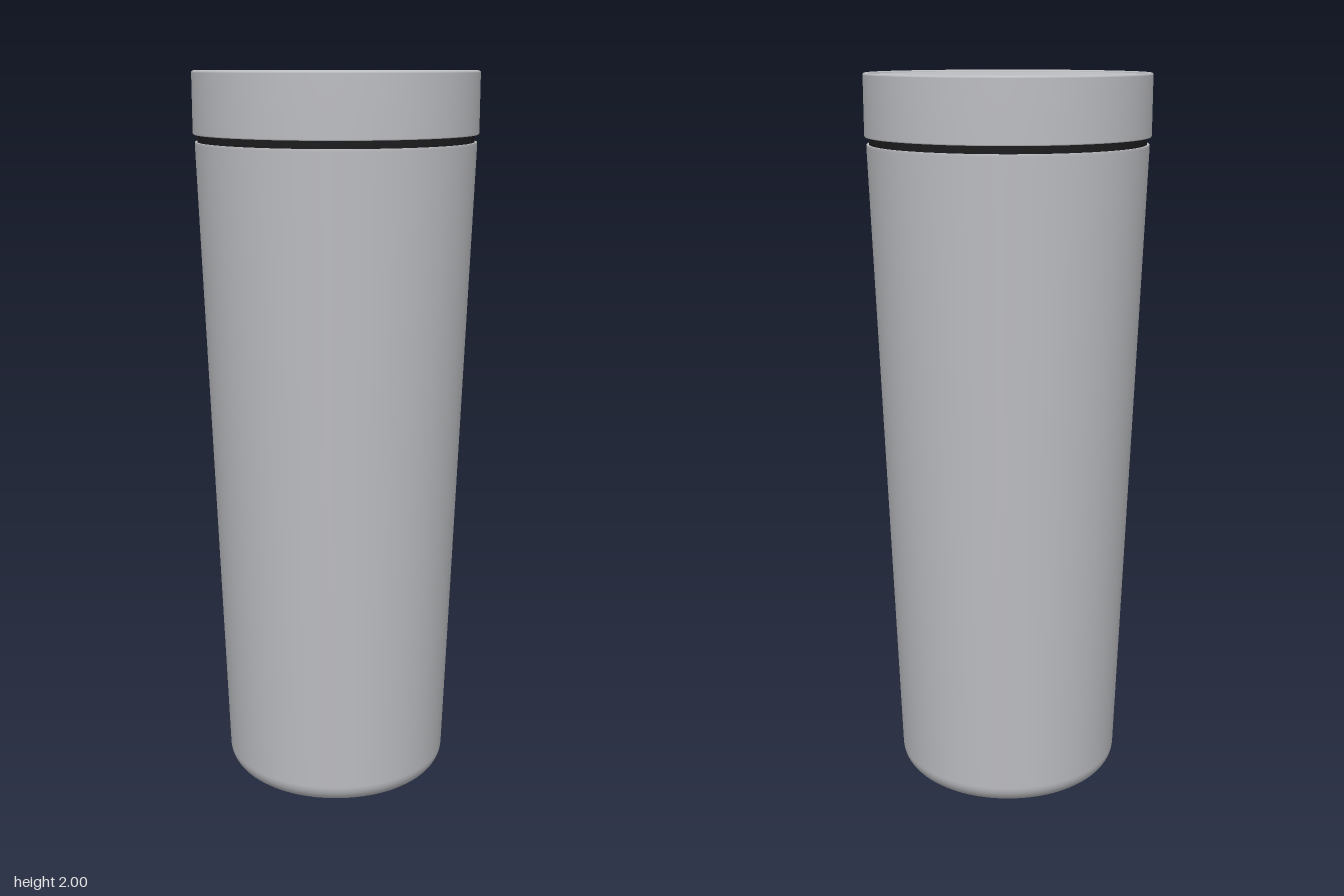
import * as THREE from 'three';
import { mergeGeometries } from 'three/addons/utils/BufferGeometryUtils.js';

const SIDES = 96;

// Revolve several profile runs; edges stay crisp where one run meets the next.
function turned(name, material, runs) {
  const parts = runs.map((run) =>
    new THREE.LatheGeometry(run.map(([r, y]) => new THREE.Vector2(r, y)), SIDES));
  const mesh = new THREE.Mesh(mergeGeometries(parts), material);
  mesh.name = name;
  return mesh;
}

// Points along a circular arc, angles in degrees.
function arc(cx, cy, radius, from, to, steps = 8) {
  return Array.from({ length: steps + 1 }, (_, i) => {
    const a = THREE.MathUtils.degToRad(from + ((to - from) * i) / steps);
    return [cx + radius * Math.cos(a), cy + radius * Math.sin(a)];
  });
}

export function createModel() {
  const steel = new THREE.MeshStandardMaterial({ color: 0xbdbec2 });
  steel.name = 'brushed grey';
  const rubber = new THREE.MeshStandardMaterial({ color: 0x1c1c1e });
  rubber.name = 'black seal';

  const model = new THREE.Group();
  model.name = 'tumbler';

  // Tapered body with a rounded foot and a shallow recess underneath
  const foot = arc(0.257, 0.058, 0.058, -90, -2);
  model.add(turned('body', steel, [
    [[0, 0.012], [0.19, 0.012]],
    [[0.19, 0.012], [0.196, 0.01], [0.202, 0.002], [0.208, 0]],
    [[0.208, 0], ...foot, [0.379, 1.808], [0.378, 1.815]],
    [[0.378, 1.815], [0.36, 1.815]],
  ]));

  // Dark seal set into the gap below the lid
  model.add(turned('seal', rubber, [[[0.372, 1.812], [0.372, 1.838]]]));

  // Lid with a rounded rim around a slightly sunken top
  model.add(turned('lid', steel, [
    [[0.36, 1.835], [0.382, 1.835]],
    [[0.382, 1.835], [0.384, 1.838], ...arc(0.378, 1.994, 0.006, 0, 180, 10), [0.371, 1.99]],
    [[0.371, 1.99], [0.368, 1.99]],
    [[0.368, 1.99], [0.366, 1.995]],
    [[0.366, 1.995], [0, 1.995]],
  ]));

  return model;
}
